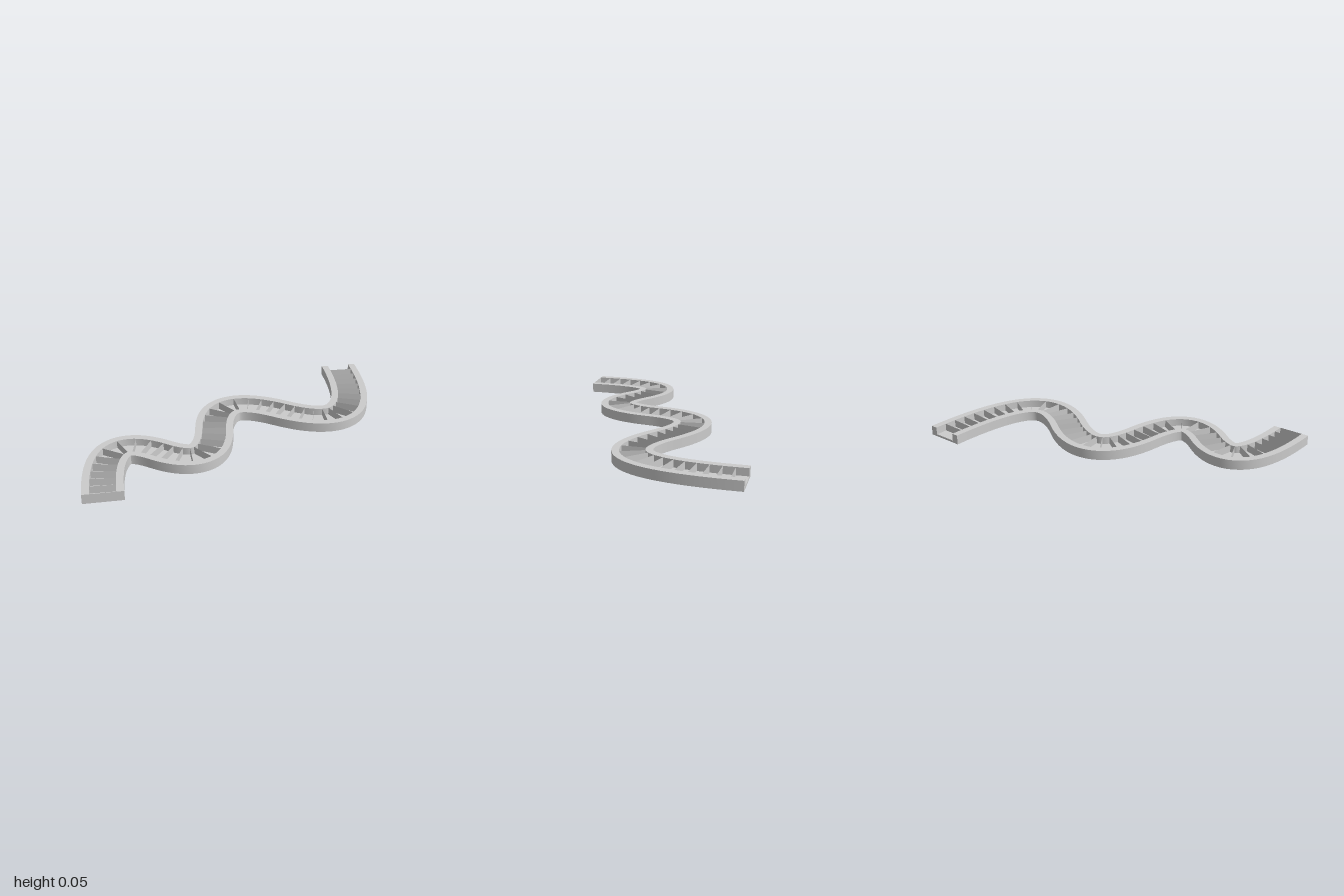
import * as THREE from 'three';

const HALF = 0.102, INNER = 0.064, FLOOR = 0.012, HEIGHT = 0.052;
const STEPS = 160, DIVIDERS = 42;

// U-shaped cross-section, counter-clockwise
const PROFILE = [
  [-HALF, 0], [HALF, 0], [HALF, HEIGHT], [INNER, HEIGHT],
  [INNER, FLOOR], [-INNER, FLOOR], [-INNER, HEIGHT], [-HALF, HEIGHT],
];

// Winding centreline: a chain of parabolic bends that share tangents
function makePath() {
  const v = (x, z) => new THREE.Vector3(x, 0, z);
  const bends = [v(-0.677, -0.31), v(-0.335, 0.324), v(0.07, -0.363), v(0.578, 0.506)];
  const joins = [0.545, 0.48, 0.428].map((t, i) => bends[i].clone().lerp(bends[i + 1], t));
  const knots = [v(-0.905, 0.24), ...joins, v(0.905, -0.268)];
  const path = new THREE.CurvePath();
  bends.forEach((b, i) => path.add(new THREE.QuadraticBezierCurve3(knots[i], b, knots[i + 1])));
  return path;
}

// Local frame on the path: x across, y up, z forward
function frameAt(path, t) {
  const f = path.getTangent(t);
  const across = new THREE.Vector3(f.z, 0, -f.x);
  return new THREE.Matrix4()
    .makeBasis(across, new THREE.Vector3(0, 1, 0), f)
    .setPosition(path.getPoint(t));
}

// One smooth strip swept from a single edge of the cross-section
function sweepEdge(frames, a, b) {
  const pos = [], index = [];
  frames.forEach((m, i) => {
    for (const [x, y] of [a, b]) pos.push(...new THREE.Vector3(x, y, 0).applyMatrix4(m).toArray());
    if (i === 0) return;
    const k = 2 * (i - 1);
    index.push(k, k + 1, k + 3, k, k + 3, k + 2);
  });
  const g = new THREE.BufferGeometry();
  g.setAttribute('position', new THREE.Float32BufferAttribute(pos, 3));
  g.setIndex(index);
  g.computeVertexNormals();
  return g;
}

export function createModel() {
  const group = new THREE.Group();
  group.name = 'windingChannel';
  const solid = new THREE.MeshStandardMaterial({ color: 0xcccccc });
  const thin = new THREE.MeshStandardMaterial({ color: 0xcccccc, side: THREE.DoubleSide });
  const path = makePath();
  const add = (name, geometry, material) => {
    const mesh = new THREE.Mesh(geometry, material);
    mesh.name = name;
    group.add(mesh);
  };

  // Channel: base, side walls, rims and floor
  const frames = Array.from({ length: STEPS + 1 }, (_, i) => frameAt(path, i / STEPS));
  const names = ['base', 'outerWallA', 'rimA', 'innerWallA', 'floor', 'innerWallB', 'rimB', 'outerWallB'];
  names.forEach((name, i) =>
    add(name, sweepEdge(frames, PROFILE[i], PROFILE[(i + 1) % PROFILE.length]), solid));

  // U-shaped end faces
  const section = new THREE.Shape(PROFILE.map(([x, y]) => new THREE.Vector2(x, y)));
  for (const m of [frames[0], frames[STEPS]])
    add('endFace', new THREE.ShapeGeometry(section).applyMatrix4(m), thin);

  // Thin dividers across the channel; the far end stays open
  for (let i = 0; i < DIVIDERS; i++) {
    const g = new THREE.PlaneGeometry(2 * INNER, HEIGHT - FLOOR);
    g.translate(0, (HEIGHT + FLOOR) / 2, 0).applyMatrix4(frameAt(path, i / DIVIDERS));
    add('divider', g, thin);
  }
  return group;
}
